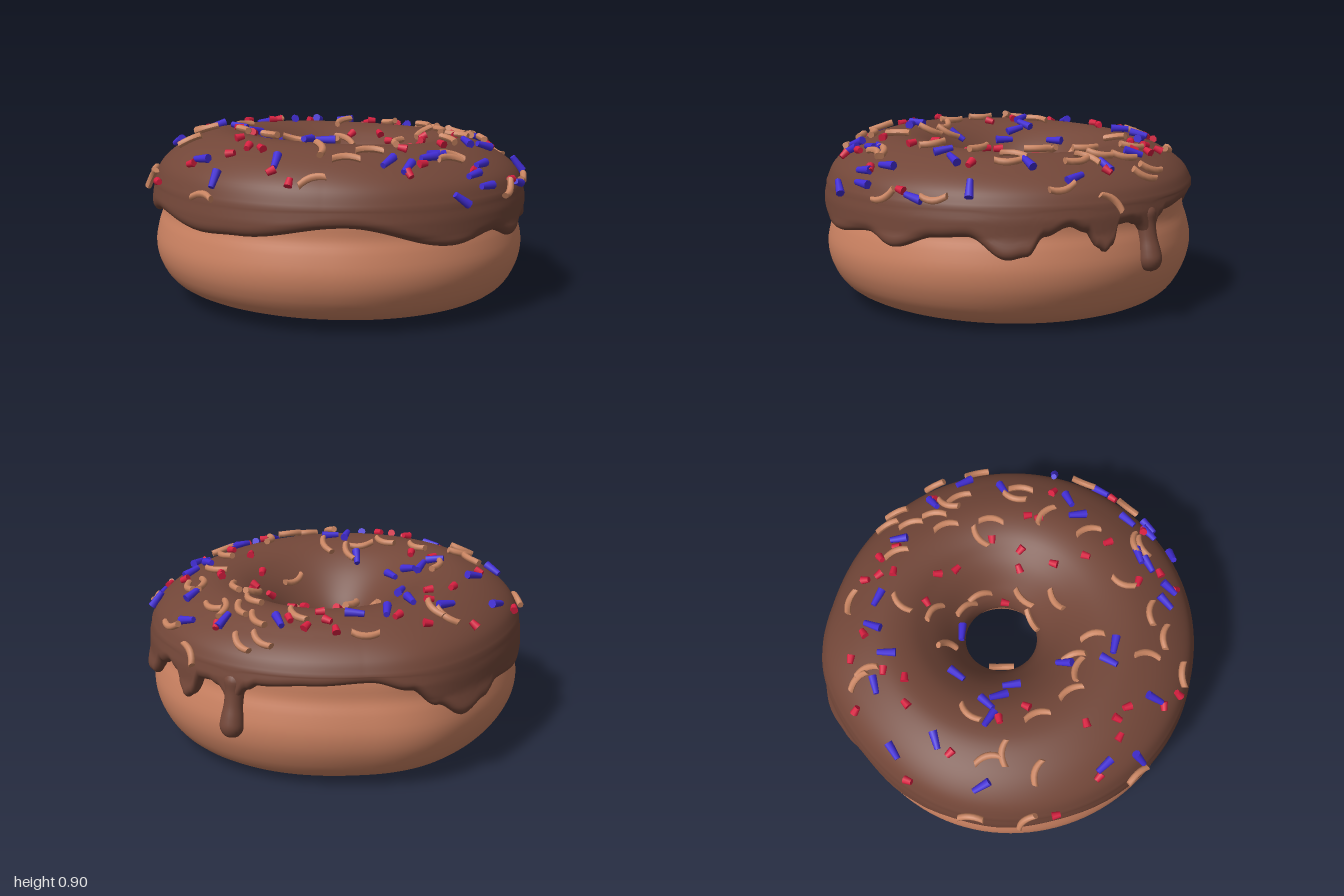
import * as THREE from 'three';

const mat = (name, color) => {
  const m = new THREE.MeshStandardMaterial({ color });
  m.name = name;
  return m;
};
const RAD = Math.PI / 180;
const clamp = THREE.MathUtils.clamp;
const spline = (pts, closed) =>
  new THREE.CatmullRomCurve3(pts.map(([r, y]) => new THREE.Vector3(r, y, 0)), closed);

// Cross-sections as [radius, height]
const doughPoints = [
  [0.215, 0.45], [0.24, 0.32], [0.32, 0.18], [0.45, 0.07], [0.6, 0.022], [0.74, 0.03], [0.86, 0.09],
  [0.928, 0.2], [0.946, 0.3], [0.928, 0.4], [0.906, 0.47], [0.902, 0.55], [0.885, 0.64],
  [0.8, 0.73], [0.64, 0.79], [0.5, 0.78], [0.36, 0.69], [0.26, 0.58],
];
const crown = spline([
  [0.947, 0.62], [0.912, 0.7], [0.845, 0.768], [0.745, 0.826], [0.62, 0.86], [0.48, 0.838],
  [0.36, 0.76], [0.265, 0.655], [0.205, 0.56], [0.19, 0.48], [0.2, 0.44], [0.24, 0.43],
], false).getPoints(60);

// Lower edge of the icing: [angle in degrees, height], angle 0 = +x, 90 = front
const hem = [
  [-75, 0.55], [-60, 0.53], [-56.5, 0.5], [-52, 0.41], [-47, 0.49], [-44, 0.505], [-40, 0.5],
  [-37.5, 0.41], [-35, 0.385], [-33, 0.41], [-30, 0.48], [-25, 0.51], [-18, 0.47], [-13, 0.385],
  [-8, 0.37], [3, 0.47], [12, 0.46], [25, 0.4], [35, 0.45], [51, 0.42], [84, 0.53], [115, 0.47],
  [129, 0.46], [153, 0.5], [172, 0.45], [184, 0.465], [197, 0.43], [207, 0.415], [222, 0.43],
  [231, 0.385], [240, 0.35], [249, 0.43], [257, 0.52], [268, 0.57], [285, 0.55],
];
function hemAt(angle) {
  const a = angle >= 285 ? angle - 360 : angle;
  const i = hem.findIndex((h) => h[0] > a) - 1;
  const [a0, h0] = hem[i], [a1, h1] = hem[i + 1];
  return h0 + (h1 - h0) * (1 - Math.cos(Math.PI * (a - a0) / (a1 - a0))) / 2;
}

// Outer dough radius at a height
const side = doughPoints.slice(6, 13);
function doughRadius(y) {
  const i = side.findIndex((p) => p[1] > y) - 1;
  const t = (y - side[i][1]) / (side[i + 1][1] - side[i][1]);
  return side[i][0] + (side[i + 1][0] - side[i][0]) * t;
}

// Hand-made irregularity: uneven outline, off-centre hole, top dipping to the back left
const bump = (a, centre, width) => {
  const d = ((a / RAD - centre + 900) % 360 - 180) / width;
  return Math.exp(-d * d);
};
const stretch = (r, a) => 1 + clamp((r - 0.4) / 0.5, 0, 1) *
  (0.038 * Math.max(0, Math.cos(a)) + 0.035 * bump(a, 253, 17) - 0.016 * bump(a, 214, 20));
const holeShift = (r) => clamp((0.9 - r) / 0.65, 0, 1);
const topLift = (y, a) =>
  clamp((y - 0.55) / 0.25, 0, 1) * (-0.02 + 0.024 * Math.sin(a) - 0.02 * Math.cos(a));
function place(r, y, a) {
  const s = r * stretch(r, a), w = holeShift(r);
  return [s * Math.cos(a) + 0.045 * w, y + topLift(y, a), s * Math.sin(a) - 0.06 * w];
}

// Sweep a cross-section that may change with the angle around the ring
function sweep(section, columns, closed) {
  const pos = [], index = [];
  let rows = 0;
  for (let i = 0; i < columns; i++) {
    const a = (i / columns) * Math.PI * 2;
    const pts = section(a);
    rows = pts.length;
    pts.forEach(([r, y]) => pos.push(...place(r, y, a)));
  }
  for (let i = 0; i < columns; i++) {
    for (let j = 0; j < (closed ? rows : rows - 1); j++) {
      const k = (j + 1) % rows, n = (i + 1) % columns;
      const a = i * rows + j, b = i * rows + k, c = n * rows + j, d = n * rows + k;
      index.push(a, b, c, b, d, c);
    }
  }
  const g = new THREE.BufferGeometry();
  g.setAttribute('position', new THREE.Float32BufferAttribute(pos, 3));
  g.setIndex(index);
  g.computeVertexNormals();
  return g;
}

function icingSection(a) {
  const h = hemAt(a / RAD);
  const pts = [[doughRadius(h) - 0.015, h + 0.012]];
  const N = 16;
  for (let k = 0; k < N; k++) {
    const y = h + (0.62 - h) * Math.pow(k / N, 1.7);
    const u = 1 - Math.min(1, (y - h) / 0.055);
    pts.push([doughRadius(y) + 0.012 + 0.044 * Math.sqrt(1 - u * u), y]);
  }
  return pts.concat(crown.map((p) => [p.x, p.y]));
}

// Position and normal on top of the icing above a point (x, z)
function onIcing(x, z) {
  let r = Math.hypot(x, z), a = Math.atan2(z, x);
  for (let i = 0; i < 10; i++) {
    const px = x - 0.045 * holeShift(r), pz = z + 0.06 * holeShift(r);
    a = Math.atan2(pz, px);
    r = Math.hypot(px, pz) / stretch(r, a);
  }
  let best = 1;
  for (let i = 1; i < 46; i++) if (Math.abs(crown[i].x - r) < Math.abs(crown[best].x - r)) best = i;
  const p = crown[best], t = crown[best + 1].clone().sub(crown[best - 1]).normalize();
  return {
    point: new THREE.Vector3(...place(p.x, p.y, a)),
    normal: new THREE.Vector3(t.y * Math.cos(a), -t.x, t.y * Math.sin(a)),
  };
}

// Sprinkles: x, z and heading in degrees
const rods = [
  -.73, -.43, -35, -.44, -.59, -25, -.27, -.57, 80, -.14, -.67, 100, .01, -.7, 15, .36, -.66, 80,
  .62, -.55, -45, .79, -.42, 35, .75, -.2, -35, .94, .04, 0, .77, .15, -30, .67, .21, 65,
  .92, .3, -35, -.65, -.23, -25, -.3, -.22, -65, -.43, -.03, -50, -.5, 0, 20, -.38, .02, 50,
  -.82, .03, 40, -.3, .07, 70, -.14, .32, 100, -.1, .52, -70, -.01, .52, 0, -.6, .59, 30,
  -.51, .75, -60, -.22, .76, -80, .29, .73, -65, .38, .74, -75, .48, .62, -40, .52, .57, -25,
  .63, .73, 25, .69, .59, -60, .75, .58, -45, .73, .47, -60, 0, -.27, 0,
];
const curls = [
  -.02, -.82, 5, -.42, -.68, 40, -.37, -.65, 60, 0, -.57, -60, .28, -.66, 60, .45, -.75, 65,
  .54, -.72, 80, .46, -.62, 70, .53, -.51, 80, .48, -.45, 60, .6, -.46, -70, .66, -.42, 50,
  .78, -.59, -60, .86, -.37, 45, .03, -.43, 40, -.13, -.32, 60, .14, -.28, 60, .22, -.22, 60,
  .47, -.27, -50, .55, -.22, 80, .7, -.13, -80, .78, -.11, 80, .63, .04, 30, -.95, 0, 60,
  -.93, .27, 0, -.7, .27, 0, -.65, .1, -10, -.69, .03, 60, -.44, .22, 60, -.52, -.1, -60,
  -.13, -.02, 80, .16, .09, -45, .23, .2, -50, -.3, .37, 50, -.17, .37, 0, -.09, .35, 80,
  .03, .42, 75, .33, .52, -80, -.02, .69, 80, .2, .66, -10, .1, .76, -5, -.05, .88, -30,
  -.57, .76, 30, .58, .52, -10, .57, .56, -30, .59, .28, 60, .86, .45, 60, .95, .2, 90,
  .26, .02, -40,
];
const chips = [ // x, z only
  -.32, -.74, -.19, -.72, .11, -.79, .14, -.71, .17, -.65, .24, -.73, .31, -.66, -.56, -.66,
  -.36, -.56, -.52, -.42, -.84, -.33, -.71, -.15, -.39, -.46, .06, -.47, .22, -.43, .29, -.36,
  .47, -.2, .65, -.56, .61, -.04, .46, -.04, .38, -.03, .24, -.08, .63, .02, .79, .06,
  -.51, .05, -.42, .17, -.88, .42, -.65, .57, -.44, .47, -.37, .6, -.31, .65, -.45, .63,
  -.24, .82, -.15, .88, .39, .78, .36, .59, .45, .68, .46, .31, .55, .4, .7, .56, .88, .37, .41, .15,
];

function scatter(name, geometry, material, list, stride, lift) {
  const group = new THREE.Group();
  group.name = name + 's';
  for (let i = 0; i < list.length; i += stride) {
    const { point, normal } = onIcing(list[i], list[i + 1]);
    const a = (stride === 3 ? list[i + 2] : i * 67) * RAD;
    const t = new THREE.Vector3(Math.cos(a), 0, Math.sin(a)).projectOnPlane(normal).normalize();
    const m = new THREE.Mesh(geometry, material);
    m.name = name;
    m.quaternion.setFromRotationMatrix(
      new THREE.Matrix4().makeBasis(t, normal, t.clone().cross(normal)));
    m.position.copy(point).addScaledVector(normal, lift);
    group.add(m);
  }
  return group;
}

export function createModel() {
  const model = new THREE.Group();
  model.name = 'donut';
  const icingMat = mat('chocolate icing', 0x724638);
  const add = (name, geometry, material) => {
    const m = new THREE.Mesh(geometry, material);
    m.name = name;
    model.add(m);
    return m;
  };

  // Dough ring, its underside tilting slightly
  const loop = spline(doughPoints, true).getPoints(72).slice(0, -1);
  add('dough', sweep((a) => loop.map((p) => [
    p.x, p.y - 0.018 * Math.cos(a + 35 * RAD) * clamp(1 - p.y / 0.3, 0, 1),
  ]), 120, true), mat('baked dough', 0xca8161));

  // Icing with a wavy hem, and one long drip ending in a drop
  add('icing', sweep(icingSection, 480, false), icingMat);
  const drop = spline([
    [0, -0.06], [0.035, -0.048], [0.058, -0.01], [0.056, 0.04], [0.047, 0.1], [0.047, 0.17],
    [0.055, 0.23], [0.02, 0.27], [0, 0.275],
  ], false).getPoints(32).map((p) => new THREE.Vector2(Math.max(0, p.x), p.y));
  const drip = add('drip', new THREE.LatheGeometry(drop, 24), icingMat);
  drip.position.set(...place(0.952, 0.315, -52 * RAD));
  drip.rotation.set(0, 52 * RAD, 0.17);

  // Sprinkles
  const curl = new THREE.CylinderGeometry(0.017, 0.017, 0.13, 8, 6).rotateZ(Math.PI / 2);
  const p = curl.attributes.position;
  for (let i = 0; i < p.count; i++) p.setZ(i, p.getZ(i) + 5 * p.getX(i) ** 2 - 0.008);
  curl.computeVertexNormals();
  const rod = new THREE.CylinderGeometry(0.015, 0.022, 0.092, 8).rotateZ(Math.PI / 2);
  const chip = new THREE.CylinderGeometry(0.015, 0.021, 0.043, 8).rotateZ(Math.PI / 2);
  model.add(
    scatter('curvedSprinkle', curl, mat('caramel', 0xca8562), curls, 3, 0.02),
    scatter('rodSprinkle', rod, mat('blue sugar', 0x422dd6), rods, 3, 0.016),
    scatter('chipSprinkle', chip, mat('red sugar', 0xd81f40), chips, 2, 0.014),
  );
  return model;
}
